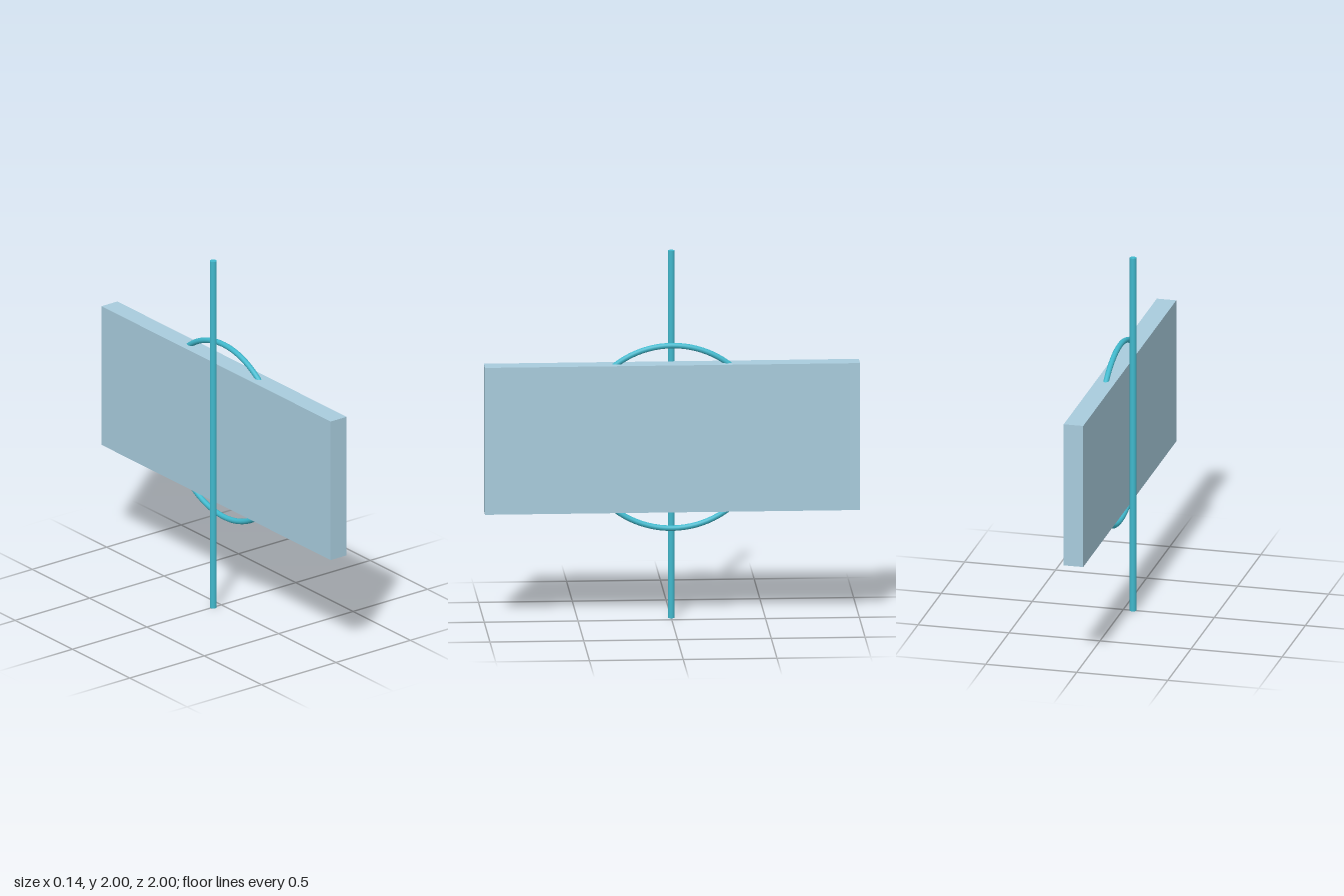
import * as THREE from 'three';

export function createModel() {
  const model = new THREE.Group();
  const blue = new THREE.MeshStandardMaterial({ color: 0xa8cbdc });
  const teal = new THREE.MeshStandardMaterial({ color: 0x40b8cc });

  const add = (name, geometry, material, x) => {
    const mesh = new THREE.Mesh(geometry, material);
    mesh.name = name;
    mesh.position.set(x, 1, 0);
    model.add(mesh);
    return mesh;
  };

  // Long upright slab
  add('panel', new THREE.BoxGeometry(0.107, 0.8, 2), blue, 0.018);

  // Vertical rod touching the slab's right face
  add('rod', new THREE.CylinderGeometry(0.018, 0.018, 2, 24), teal, -0.054);

  // Ring embedded in the slab, standing out above and below
  const ring = add('ring', new THREE.TorusGeometry(0.497, 0.015, 16, 96), teal, 0.018);
  ring.rotation.y = Math.PI / 2;

  return model;
}
